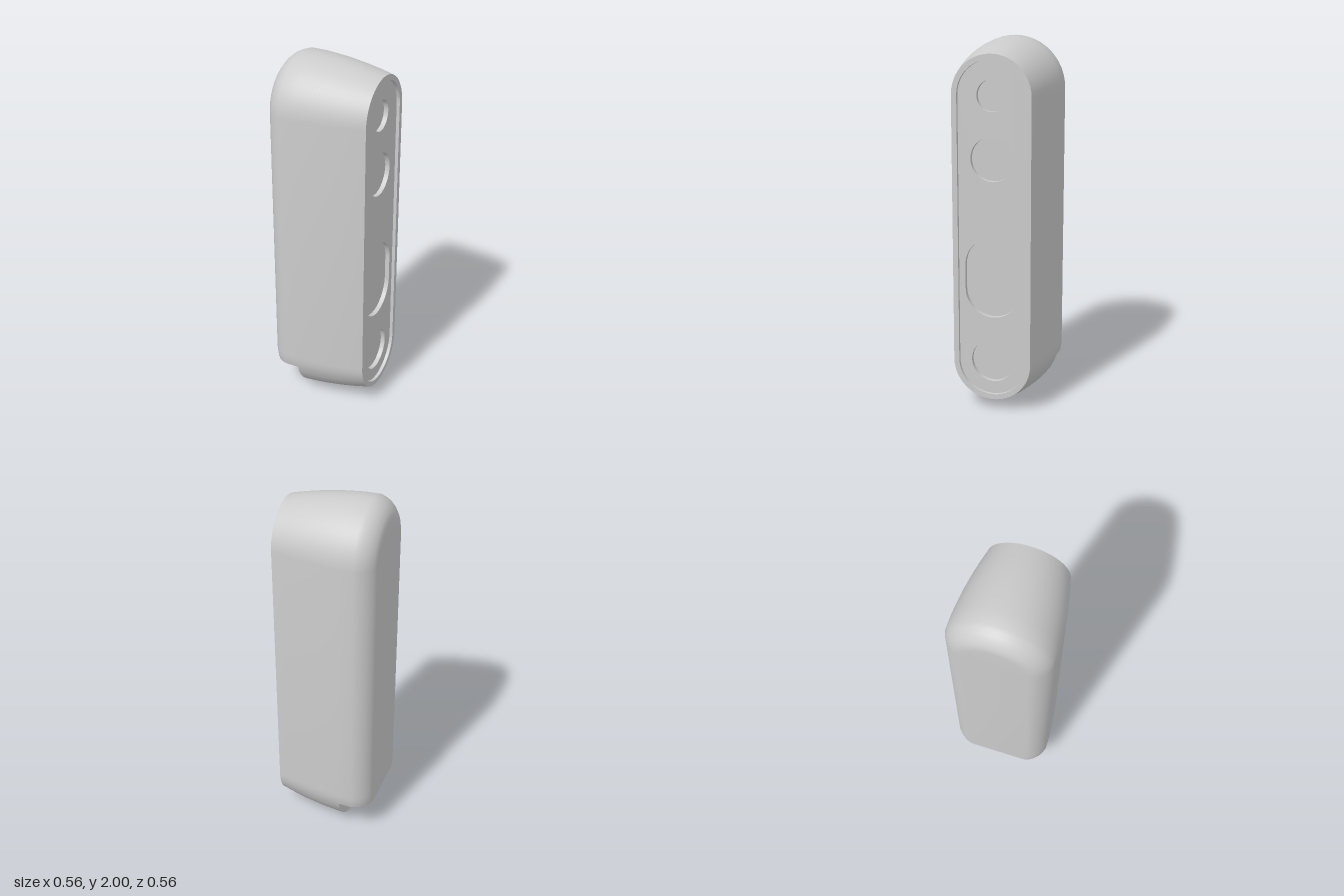
import * as THREE from 'three';
import { toCreasedNormals } from 'three/addons/utils/BufferGeometryUtils.js';

const TOP = 1.722, BOTTOM = 0.278;      // arc centres of the capsule outline
const STEP_X = -0.105, STEP_Y = 0.205;  // notch at the lower back
const FRONT = 0.279;

// Angles of an arc, both ends included
const arc = (a, b, n) => Array.from({ length: n + 1 }, (_, i) => a + (b - a) * i / n);

// Capsule cross-section at x; a notched one stops at the step height
function ring(x, r, notched) {
  const c = Math.asin((BOTTOM - STEP_Y) / r), P = Math.PI;
  const at = (y) => (a) => new THREE.Vector3(x, y + r * Math.sin(a), r * Math.cos(a));
  const middle = arc(P + c, 2 * P - c, 16).map(at(BOTTOM));
  const pts = [
    ...arc(0, P, 24).map(at(TOP)),
    ...arc(P, P + c, 4).map(at(BOTTOM)),
    ...(notched ? [] : middle.slice(1, -1)),
    ...arc(2 * P - c, 2 * P, 4).map(at(BOTTOM)),
  ];
  return { pts, middle };
}

function bodyGeometry() {
  const pos = [];
  const tri = (...v) => v.forEach((p) => pos.push(p.x, p.y, p.z));
  const fan = (p) => { for (let i = 1; i < p.length - 1; i++) tri(p[0], p[i], p[i + 1]); };
  const loft = (rings) => {
    for (let i = 0; i < rings.length - 1; i++) {
      const a = rings[i], b = rings[i + 1], n = a.length;
      for (let j = 0; j < n; j++) {
        const k = (j + 1) % n;
        tri(a[j], b[j], b[k]);
        tri(a[j], b[k], a[k]);
      }
    }
  };
  // [x, radius] from the rounded back to the tapered front
  const back = [[-0.279, 0.165], [-0.277, 0.188], [-0.268, 0.213], [-0.25, 0.238],
    [-0.228, 0.258], [-0.205, 0.27], [-0.182, 0.278], [STEP_X, 0.2765]];
  const front = [[STEP_X, 0.2765], [-0.05, 0.272], [0.03, 0.264], [0.13, 0.248],
    [0.2, 0.234], [FRONT, 0.215]];
  const backRings = back.map(([x, r]) => ring(x, r, true).pts);
  loft(backRings);
  loft(front.map(([x, r]) => ring(x, r, false).pts));
  fan(backRings[0]);                       // flat back
  fan(ring(STEP_X, 0.2765, true).middle);  // upright face of the notch
  const g = new THREE.BufferGeometry();
  g.setAttribute('position', new THREE.Float32BufferAttribute(pos, 3));
  return toCreasedNormals(g, 0.6);
}

// Upright capsule outline (a circle when lo equals hi)
function capsule(r, lo, hi, Type = THREE.Shape) {
  const s = new Type();
  s.absarc(0, hi, r, 0, Math.PI, false);
  s.absarc(0, lo, r, Math.PI, 2 * Math.PI, false);
  s.closePath();
  return s;
}

// Extrude along x, ending at the given front plane
function slab(shape, depth, frontX) {
  return new THREE.ExtrudeGeometry(shape, { depth, bevelEnabled: false, curveSegments: 24 })
    .rotateY(Math.PI / 2).translate(frontX - depth, 0, 0);
}

export function createModel() {
  const group = new THREE.Group();
  const material = new THREE.MeshStandardMaterial({ color: 0xcccccc });
  const add = (name, geometry) => {
    const mesh = new THREE.Mesh(geometry, material);
    mesh.name = name;
    group.add(mesh);
  };

  add('housing', bodyGeometry());

  // Raised rim around the front
  const rim = capsule(0.215, BOTTOM, TOP);
  rim.holes.push(capsule(0.186, BOTTOM, TOP, THREE.Path));
  add('frontRim', slab(rim, 0.02, FRONT));

  // Recessed front plate with its window openings: [radius, low centre, high centre]
  const windows = [[0.083, 1.722, 1.722], [0.118, 1.391, 1.391], [0.151, 0.68, 0.815], [0.118, 0.28, 0.28]];
  const plate = capsule(0.2, BOTTOM, TOP);
  windows.forEach(([r, lo, hi]) => plate.holes.push(capsule(r, lo, hi, THREE.Path)));
  add('frontPlate', slab(plate, 0.025, FRONT - 0.018));

  // Floors of the windows
  windows.forEach(([r, lo, hi], i) =>
    add(`window${i + 1}`, slab(capsule(r + 0.005, lo, hi), 0.01, FRONT - 0.043)));

  return group;
}
